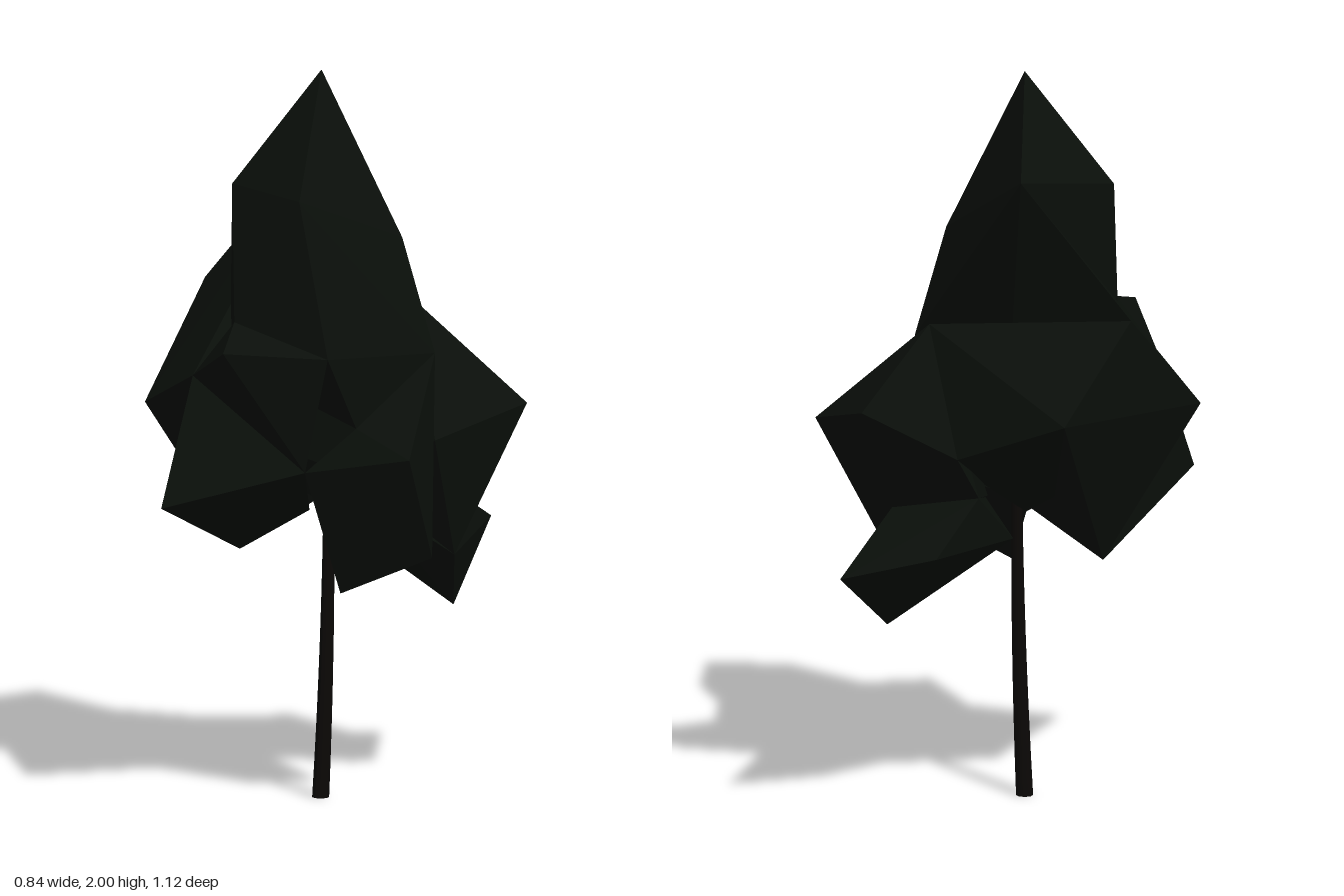
import * as THREE from 'three';
import { ConvexGeometry } from 'three/addons/geometries/ConvexGeometry.js';

const leafMaterial = new THREE.MeshStandardMaterial({ color: 0x0a0f0a, flatShading: true });
const barkMaterial = new THREE.MeshStandardMaterial({ color: 0x0b0806 });

// Corners shared by neighbouring clumps of leaves
const backPeak = [-0.17, 1.75, -0.11];
const waistRight = [-0.41, 1.38, 0.07];
const waistLeft = [0.29, 1.24, -0.06];
const waistFront = [-0.07, 1.34, 0.35];
const waistFrontLeft = [0.2, 1.26, 0.28];
const waistBack = [0.06, 1.34, -0.23];
const bulgeRight = [-0.42, 1.13, -0.19];
const bulgeFrontRight = [-0.36, 1.09, 0.38];
const chestRight = [-0.17, 1.19, 0.405];
const chestLeft = [0.12, 0.94, 0.28];
const leftHollow = [0.22, 1.06, 0.185];
const rightTip = [-0.22, 0.67, 0.15];
const crownBase = [0, 0.8, 0.04];
const backRight = [-0.1, 1, -0.28];
const backUnder = [-0.1, 0.88, -0.2];
const backLeftUnder = [0.24, 0.66, -0.2];

// One faceted clump spanning its corner points
function clump(name, ...corners) {
  const points = corners.map((c) => new THREE.Vector3(...c));
  const mesh = new THREE.Mesh(new ConvexGeometry(points), leafMaterial);
  mesh.name = name;
  return mesh;
}

// Slender trunk, tapered and gently bent
function makeTrunk() {
  const height = 0.9;
  const geometry = new THREE.CylinderGeometry(0.014, 0.023, height, 8, 8);
  geometry.translate(0, height / 2, 0);
  const pos = geometry.attributes.position;
  for (let i = 0; i < pos.count; i++) {
    const t = pos.getY(i) / height;
    pos.setX(i, pos.getX(i) - 0.02 + 0.055 * t - 0.03 * t * t);
    pos.setZ(i, pos.getZ(i) + 0.05 - 0.005 * t);
  }
  geometry.computeVertexNormals();
  const mesh = new THREE.Mesh(geometry, barkMaterial);
  mesh.name = 'trunk';
  return mesh;
}

export function createModel() {
  const tree = new THREE.Group();
  tree.name = 'tree';

  const foliage = new THREE.Group();
  foliage.name = 'foliage';
  foliage.add(
    // Pointed top
    clump('spire', [0, 2, 0.07], backPeak, [-0.175, 1.69, 0.235], [0.1, 1.68, 0.28],
      [0.2, 1.55, -0.03], waistLeft, waistFront, waistFrontLeft, leftHollow, [-0.17, 1.2, 0.25]),
    // Shoulder sloping down from the spire
    clump('rightShoulder', backPeak, waistRight, waistLeft, bulgeFrontRight, chestRight, [0, 1, 0]),
    // Wide middle
    clump('core', waistRight, waistLeft, waistBack, bulgeRight, bulgeFrontRight, backRight,
      [-0.13, 1.28, -0.18], [-0.28, 0.93, 0.05], [0.15, 0.87, 0], crownBase, [-0.12, 0.82, -0.04]),
    // Bulge reaching back
    clump('backBulge', waistBack, [0.335, 1.06, -0.39], [0.08, 1.13, -0.465], backRight,
      [0.29, 1.0, -0.06], [0.22, 1.08, -0.15], backLeftUnder, backUnder, [0.05, 0.83, -0.02]),
    // Jutting brow on the front
    clump('upperFrontLobe', waistFront, waistFrontLeft, chestRight, [0.03, 1.29, 0.515],
      chestLeft, [-0.1, 1.1, 0.3]),
    // Hanging front tip
    clump('lowerFrontLobe', [-0.15, 0.85, 0.56], chestRight, chestLeft, rightTip,
      [0, 0.8, 0.12], [-0.17, 1, 0.1]),
    // Drooping sides
    clump('leftLobe', [0.42, 1, 0.2], [0.39, 0.71, 0.07], [0.16, 0.6, 0.18],
      waistLeft, leftHollow, chestLeft, [0.02, 0.8, 0.1], [0.15, 0.85, 0]),
    clump('rightLobe', rightTip, [-0.3, 0.93, 0.1], [-0.12, 0.77, 0.07],
      bulgeFrontRight, bulgeRight, chestRight, [0, 0.85, 0]),
    // Low branch at the back
    clump('backLobe', [0.06, 0.69, -0.565], [0.16, 0.5, -0.29], [0, 0.66, -0.17],
      backLeftUnder, [0.13, 0.79, -0.31], [-0.08, 0.73, -0.34], [0.18, 0.86, -0.2],
      backUnder, [-0.11, 0.75, -0.08], [0.08, 0.83, -0.01])
  );

  tree.add(foliage, makeTrunk());
  return tree;
}
